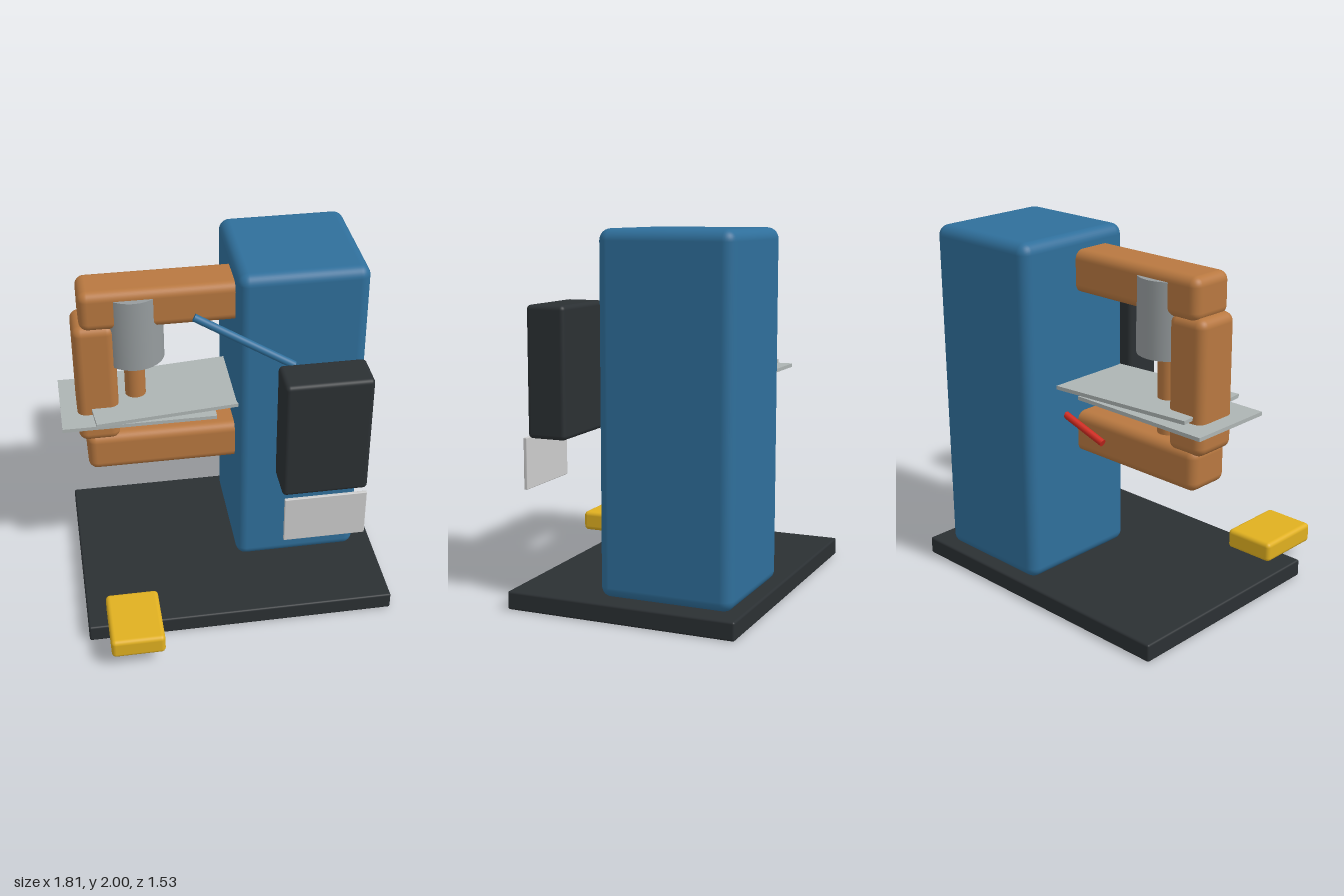
import * as THREE from 'three';
import { RoundedBoxGeometry } from 'three/addons/geometries/RoundedBoxGeometry.js';

const paint = (color) => new THREE.MeshStandardMaterial({ color });
const BLUE = paint(0x2f6f9b), COPPER = paint(0xb87840), DARK = paint(0x2b3033);
const STEEL = paint(0x969c9e), SHEET = paint(0xadb4b3), LABEL = paint(0xd8d8d4);
const YELLOW = paint(0xe0b020), RED = paint(0xcc2a20);

export function createModel() {
  const model = new THREE.Group();
  model.name = 'spotWelder';

  const add = (name, geometry, material) => {
    const mesh = new THREE.Mesh(geometry, material);
    mesh.name = name;
    model.add(mesh);
    return mesh;
  };

  // Box given by its extents on each axis, with rounded edges when radius > 0
  const block = (name, [x0, x1], [y0, y1], [z0, z1], radius, material) => {
    const size = [x1 - x0, y1 - y0, z1 - z0];
    const geometry = radius > 0
      ? new RoundedBoxGeometry(...size, 4, radius)
      : new THREE.BoxGeometry(...size);
    const mesh = add(name, geometry, material);
    mesh.position.set((x0 + x1) / 2, (y0 + y1) / 2, (z0 + z1) / 2);
    return mesh;
  };

  // Round bar between two points
  const bar = (name, from, to, radius, material) => {
    const a = new THREE.Vector3(...from), b = new THREE.Vector3(...to);
    const axis = b.clone().sub(a);
    const mesh = add(name, new THREE.CylinderGeometry(radius, radius, axis.length(), 32), material);
    mesh.position.copy(a).add(b).multiplyScalar(0.5);
    mesh.quaternion.setFromUnitVectors(new THREE.Vector3(0, 1, 0), axis.normalize());
    return mesh;
  };

  // Floor plate, cabinet column and foot pedal
  block('base', [-0.86, 0.9], [0, 0.1], [-0.765, 0.515], 0.012, DARK);
  block('column', [0.07, 0.785], [0.09, 2], [-0.7, 0.037], 0.06, BLUE);
  block('footPedal', [-0.75, -0.45], [0.09, 0.207], [0.365, 0.762], 0.025, YELLOW);

  // C-shaped copper frame
  const armDepth = [-0.335, -0.07];
  block('upperArm', [-0.77, 0.3], [1.68, 1.912], armDepth, 0.05, COPPER);
  block('lowerArm', [-0.77, 0.3], [0.765, 1.0], armDepth, 0.05, COPPER);
  block('rearPost', [-0.812, -0.58], [0.97, 1.705], armDepth, 0.05, COPPER);

  // Pneumatic cylinder and the two electrodes on its axis
  const cx = -0.477, cz = -0.202;
  bar('pressCylinder', [cx, 1.447, cz], [cx, 1.862, cz], 0.17, STEEL);
  bar('upperElectrode', [cx, 1.09, cz], [cx, 1.5, cz], 0.058, COPPER);
  bar('lowerElectrode', [cx, 0.9, cz], [cx, 1.09, cz], 0.058, COPPER);

  // Sheets being welded, the upper one turned slightly
  block('lowerSheet', [-0.905, -0.05], [1.135, 1.156], [-0.45, 0.046], 0, SHEET);
  const upperSheet = block('upperSheet', [-0.745, 0.11], [1.175, 1.196], [-0.452, 0.044], 0, SHEET);
  upperSheet.rotation.y = 0.1;

  // Control box with name plate below
  block('controlBox', [0.24, 0.712], [0.89, 1.6], [0.262, 0.487], 0.025, DARK);
  block('namePlate', [0.247, 0.702], [0.607, 0.89], [0.498, 0.518], 0.004, LABEL);

  // Hand lever and the small red lever
  bar('handLever', [-0.165, 1.773, 0.004], [0.357, 1.508, 0.14], 0.022, BLUE);
  bar('redLever', [-0.19, 0.91, -0.405], [0.15, 1.035, -0.425], 0.02, RED);

  return model;
}
